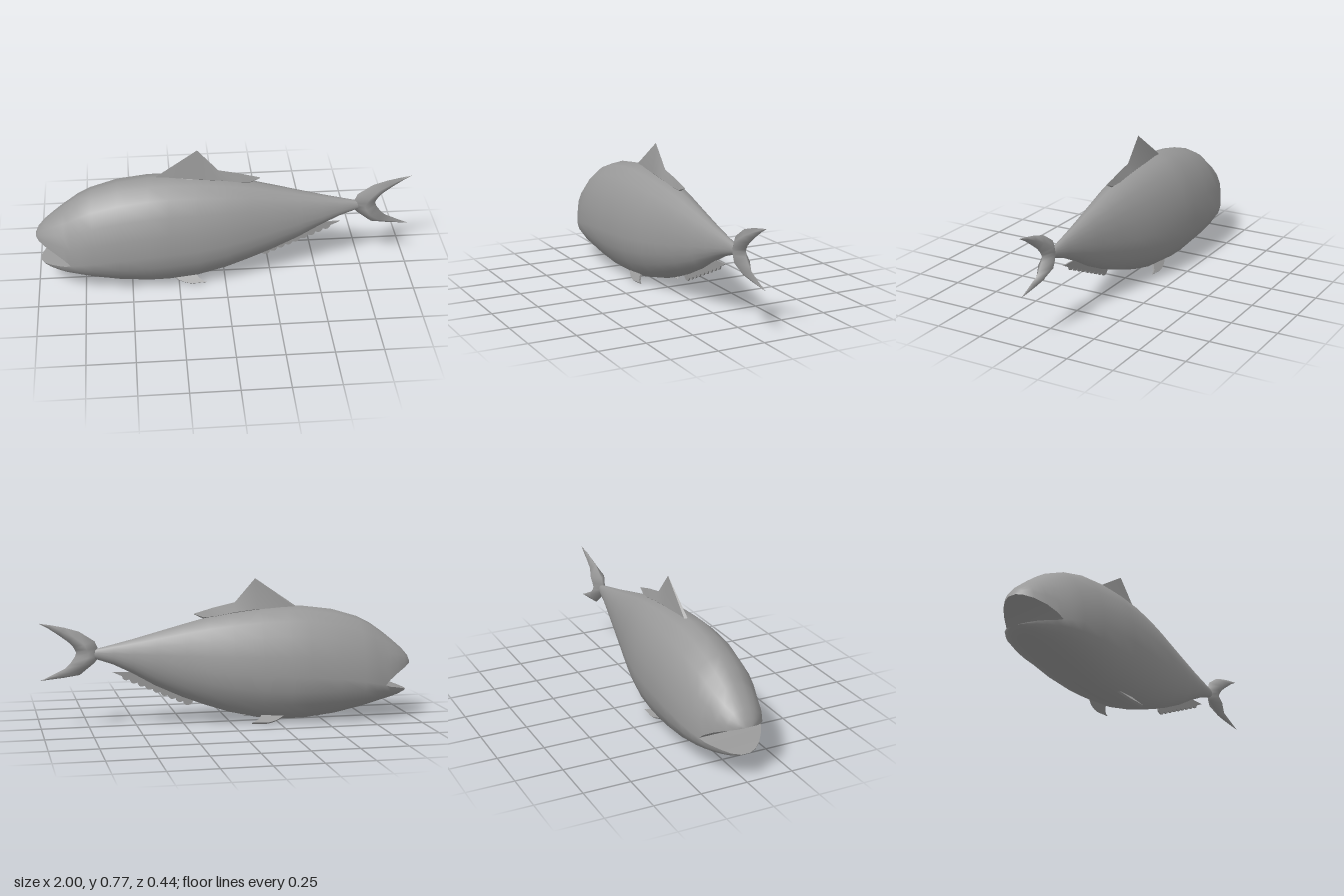
import * as THREE from 'three';
import { mergeVertices, toCreasedNormals } from 'three/addons/utils/BufferGeometryUtils.js';

const material = new THREE.MeshStandardMaterial({ color: 0x999999, side: THREE.DoubleSide });

// Triangles joining successive rings of [x, y, z] points
function loft(rings, closed = true) {
  const out = [];
  const n = rings[0].length;
  for (let i = 0; i < rings.length - 1; i++) {
    for (let j = 0; j < (closed ? n : n - 1); j++) {
      const k = (j + 1) % n;
      const a = rings[i][j], b = rings[i + 1][j], c = rings[i][k], d = rings[i + 1][k];
      out.push(...a, ...b, ...c, ...b, ...d, ...c);
    }
  }
  return out;
}

function soup(positions) {
  const g = new THREE.BufferGeometry();
  g.setAttribute('position', new THREE.Float32BufferAttribute(positions, 3));
  return g;
}

function smooth(positions) {
  const g = mergeVertices(soup(positions), 1e-5);
  g.computeVertexNormals();
  return g;
}

// Half ellipse from one side to the other; up = 1 for the back, -1 for the belly
function halfRing(x, edge, seam, w, up) {
  const ring = [];
  const steps = 10;
  for (let i = 0; i <= steps; i++) {
    const a = (i / steps) * Math.PI;
    const z = i === 0 ? w : i === steps ? -w : w * Math.cos(a);
    const y = i === 0 || i === steps ? seam : seam + (edge - seam) * Math.sin(a);
    ring.push([x, y, z * up]);
  }
  return ring;
}

// Trunk stations: x, back height, seam height, belly height, half width
const TRUNK = [
  [-0.82, 0.48, 0.195, 0.087, 0.172], [-0.77, 0.515, 0.207, 0.073, 0.19],
  [-0.7, 0.55, 0.222, 0.055, 0.206], [-0.56, 0.592, 0.245, 0.025, 0.22],
  [-0.4, 0.613, 0.257, 0.005, 0.218], [-0.3, 0.615, 0.262, 0.003, 0.213],
  [-0.15, 0.607, 0.267, 0.016, 0.199], [0, 0.587, 0.277, 0.051, 0.172],
  [0.12, 0.565, 0.29, 0.091, 0.143], [0.25, 0.532, 0.31, 0.14, 0.112],
  [0.4, 0.492, 0.335, 0.21, 0.079], [0.52, 0.46, 0.355, 0.28, 0.054],
  [0.62, 0.436, 0.373, 0.33, 0.034], [0.7, 0.417, 0.386, 0.358, 0.02],
  [0.74, 0.408, 0.388, 0.368, 0.012],
];
// Jaw stations: x, outer height, lip height, half width
const UPPER_JAW = [
  [-1, 0.298, 0.298, 0.022], [-0.985, 0.335, 0.29, 0.058], [-0.95, 0.375, 0.276, 0.097],
  [-0.9, 0.418, 0.253, 0.133], [-0.85, 0.458, 0.222, 0.159],
];
const LOWER_JAW = [
  [-0.98, 0.146, 0.146, 0.025], [-0.96, 0.132, 0.153, 0.067], [-0.93, 0.118, 0.163, 0.1],
  [-0.89, 0.106, 0.174, 0.132], [-0.85, 0.095, 0.183, 0.157],
];

function bodyGeometry() {
  const back = [...UPPER_JAW, ...TRUNK.map(([x, t, s, , w]) => [x, t, s, w])];
  const belly = [...LOWER_JAW, ...TRUNK.map(([x, , s, b, w]) => [x, b, s, w])];
  return smooth([
    ...loft(back.map(([x, e, s, w]) => halfRing(x, e, s, w, 1)), false),
    ...loft(belly.map(([x, e, s, w]) => halfRing(x, e, s, w, -1)), false),
  ]);
}

// Flat inner face of a jaw, ending at the corner of the mouth
function mouthGeometry(jaw, side) {
  const [x, , s, , w] = TRUNK[0];
  const rows = [...jaw, [x, 0, s, w]];
  return smooth(loft(rows.map(([px, , lip, pw]) => [[px, lip, -pw * side], [px, lip, pw * side]]), false));
}

// Crescent tail: diamond sections from the upper tip to the lower tip
function tailGeometry() {
  // outer x, outer y, inner x, inner y, half thickness
  const rows = [
    [1, 0.556, 1, 0.555, 0.0005], [0.94, 0.546, 0.955, 0.53, 0.009], [0.87, 0.531, 0.9, 0.492, 0.016],
    [0.795, 0.508, 0.855, 0.458, 0.024], [0.715, 0.455, 0.83, 0.433, 0.042], [0.7, 0.42, 0.818, 0.413, 0.038],
    [0.69, 0.395, 0.812, 0.397, 0.036], [0.695, 0.37, 0.82, 0.375, 0.038], [0.717, 0.342, 0.845, 0.34, 0.043],
    [0.795, 0.28, 0.87, 0.317, 0.022], [0.88, 0.268, 0.91, 0.298, 0.014], [0.94, 0.262, 0.955, 0.276, 0.008],
    [1, 0.256, 1, 0.257, 0.0005],
  ];
  return smooth(loft(rows.map(([ox, oy, ix, iy, t]) => {
    const mx = (ox + ix) / 2, my = (oy + iy) / 2;
    return [[ox, oy, 0], [mx, my, t], [ix, iy, 0], [mx, my, -t]];
  })));
}

// Dorsal fin: wedge sections x, crest, base, root, half width
function dorsalGeometry() {
  const rows = [
    [-0.36, 0.615, 0.603, 0.59, 0.014], [-0.14, 0.766, 0.603, 0.58, 0.021], [-0.03, 0.641, 0.59, 0.57, 0.018],
    [0.08, 0.617, 0.57, 0.562, 0.014], [0.14, 0.6, 0.566, 0.558, 0.008], [0.19, 0.586, 0.584, 0.582, 0.001],
  ];
  return toCreasedNormals(soup(loft(rows.map(([x, crest, base, root, w]) =>
    [[x, crest, 0], [x, base, -w], [x, root, 0], [x, base, w]]))), 0.6);
}

function slab(shape, depth) {
  const g = new THREE.ExtrudeGeometry(shape, { depth, bevelEnabled: false, curveSegments: 5 });
  return g.translate(0, 0, -depth / 2);
}

// Anal fin with a scalloped lower edge
function analGeometry() {
  const s = new THREE.Shape();
  s.moveTo(0.19, 0.16);
  s.lineTo(0.2, 0.11);
  const lobes = 9, x0 = 0.21, y0 = 0.102, x1 = 0.575, y1 = 0.266;
  s.lineTo(x0, y0);
  for (let i = 1; i <= lobes; i++) {
    const m = (i - 0.5) / lobes, e = i / lobes;
    s.quadraticCurveTo(x0 + (x1 - x0) * m + 0.012, y0 + (y1 - y0) * m - 0.024,
      x0 + (x1 - x0) * e, y0 + (y1 - y0) * e);
  }
  s.lineTo(0.625, 0.29);
  s.lineTo(0.53, 0.287);
  s.lineTo(0.5, 0.3);
  s.lineTo(0.4, 0.25);
  s.closePath();
  return slab(s, 0.008);
}

// Pelvic fin drawn hanging from its root, then splayed outward
function pelvicGeometry() {
  const s = new THREE.Shape();
  s.moveTo(-0.3, 0.0);
  s.quadraticCurveTo(-0.24, -0.052, -0.18, -0.057);
  s.lineTo(-0.1, -0.053);
  s.quadraticCurveTo(-0.14, -0.043, -0.16, 0);
  s.closePath();
  return slab(s, 0.012);
}

export function createModel() {
  const model = new THREE.Group();
  model.name = 'fish';
  const add = (name, geometry) => {
    const mesh = new THREE.Mesh(geometry, material);
    mesh.name = name;
    model.add(mesh);
    return mesh;
  };
  add('body', bodyGeometry());
  add('mouthRoof', mouthGeometry(UPPER_JAW, 1));
  add('mouthFloor', mouthGeometry(LOWER_JAW, -1));
  add('tailFin', tailGeometry());
  add('dorsalFin', dorsalGeometry());
  add('analFin', analGeometry());
  for (const side of [1, -1]) {
    const fin = add(side > 0 ? 'leftPelvicFin' : 'rightPelvicFin', pelvicGeometry());
    fin.position.set(0, 0.047, side * 0.078);
    fin.rotation.x = -side * 0.73;
  }
  return model;
}
